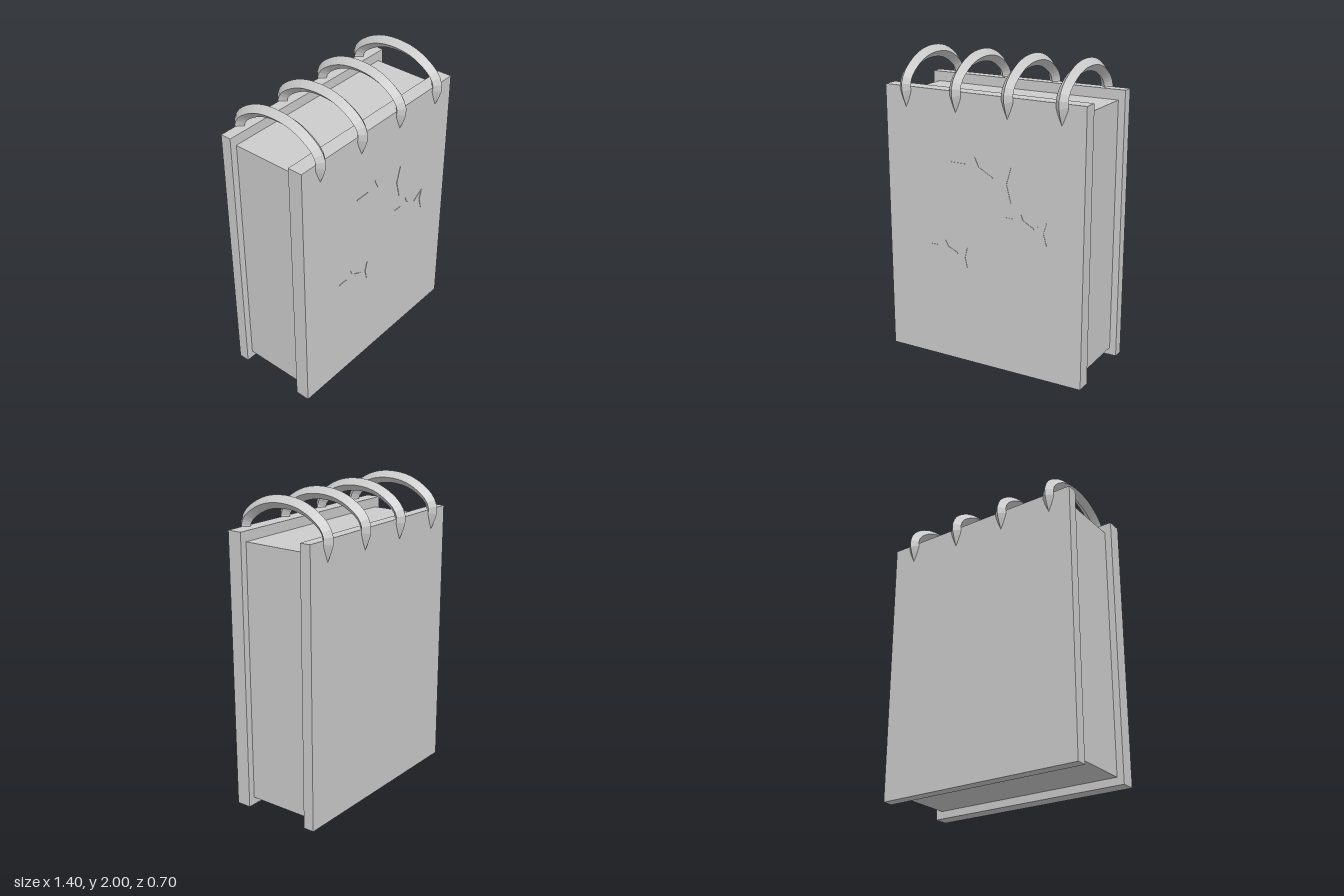
import * as THREE from 'three';

const grey = new THREE.MeshStandardMaterial({ color: 0xcccccc, flatShading: true });
grey.name = 'grey';

// Box given by its lower and upper limits on each axis
function block(name, [x0, x1], [y0, y1], [z0, z1]) {
  const mesh = new THREE.Mesh(new THREE.BoxGeometry(x1 - x0, y1 - y0, z1 - z0), grey);
  mesh.position.set((x0 + x1) / 2, (y0 + y1) / 2, (z0 + z1) / 2);
  mesh.name = name;
  return mesh;
}

// Half of a binding ring, from the top centre down into the cover: [z, y]
const RING_HALF = [[0.12, 1.947], [0.215, 1.905], [0.288, 1.845], [0.312, 1.785], [0.286, 1.7], [0.255, 1.64]];

// Etched bird-like strokes on the front cover, as polylines: [x, y]
const STROKES = [
  [[-0.22, 1.337], [-0.12, 1.337]],
  [[-0.05, 1.39], [-0.02, 1.33], [0.08, 1.275]],
  [[0.205, 1.357], [0.174, 1.25], [0.205, 1.133]],
  [[0.16, 1.036], [0.22, 1.036]],
  [[0.275, 1.075], [0.29, 1.037], [0.367, 0.995], [0.45, 1.046], [0.43, 0.977], [0.452, 0.9]],
  [[-0.383, 0.771], [-0.32, 0.771]],
  [[-0.275, 0.815], [-0.25, 0.773], [-0.18, 0.742]],
  [[-0.112, 0.788], [-0.128, 0.721], [-0.112, 0.655]],
];

export function createModel() {
  const model = new THREE.Group();
  model.name = 'ringBoundNotebook';

  // Covers and the page block between them
  model.add(block('frontCover', [-0.7, 0.7], [0, 1.785], [0.21, 0.307]));
  model.add(block('backCover', [-0.7, 0.7], [0, 1.785], [-0.308, -0.236]));
  model.add(block('pages', [-0.655, 0.655], [0.05, 1.72], [-0.24, 0.215]));

  // Four rings with a diamond cross-section
  const half = RING_HALF.map(([z, y]) => new THREE.Vector3(0, y, z));
  const mirrored = half.map((p) => new THREE.Vector3(0, p.y, -p.z));
  const path = new THREE.CatmullRomCurve3([...mirrored.reverse(), new THREE.Vector3(0, 1.962, 0), ...half]);
  const ringGeometry = new THREE.TubeGeometry(path, 32, 0.04, 4, false);
  for (const x of [-0.547, -0.182, 0.181, 0.543]) {
    const ring = new THREE.Mesh(ringGeometry, grey);
    ring.position.x = x;
    ring.name = 'bindingRing';
    model.add(ring);
  }

  // Hair-thin strokes on the front cover
  const marks = new THREE.Group();
  marks.name = 'coverMarks';
  for (const line of STROKES) {
    for (let i = 1; i < line.length; i++) {
      const [ax, ay] = line[i - 1], [bx, by] = line[i];
      const stroke = new THREE.Mesh(new THREE.BoxGeometry(Math.hypot(bx - ax, by - ay), 0.005, 0.004), grey);
      stroke.position.set((ax + bx) / 2, (ay + by) / 2, 0.308);
      stroke.rotation.z = Math.atan2(by - ay, bx - ax);
      stroke.name = 'coverStroke';
      marks.add(stroke);
    }
  }
  model.add(marks);
  return model;
}
